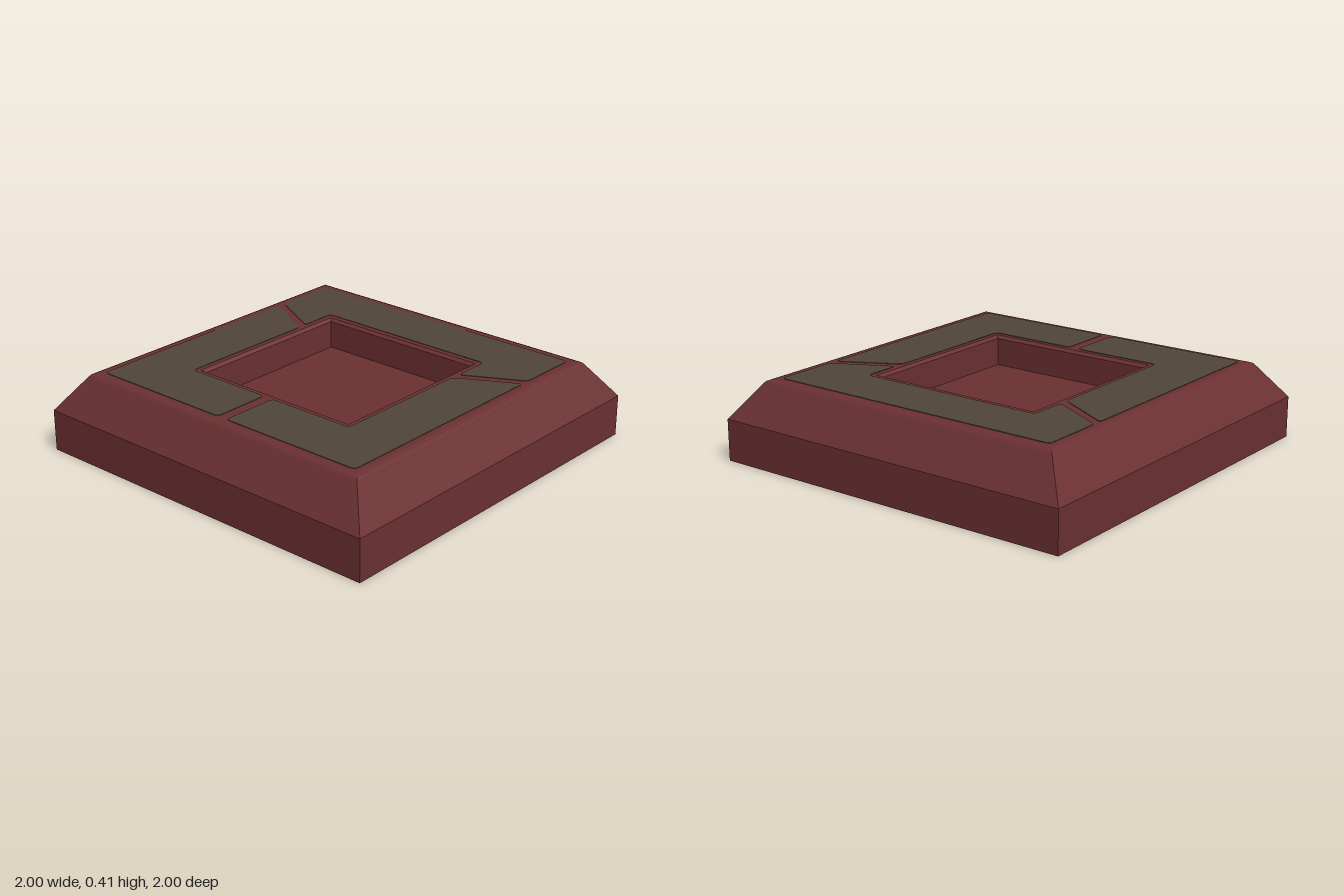
import * as THREE from 'three';

const red = new THREE.MeshStandardMaterial({ name: 'dark red', color: 0x6b3031 });
const olive = new THREE.MeshStandardMaterial({ name: 'olive brown', color: 0x504638 });

// Square solid swept from a [half width, height] profile, with flat faces
function squareLathe(profile) {
  const points = profile.map(([w, y]) => new THREE.Vector2(w * Math.SQRT2, y));
  const geometry = new THREE.LatheGeometry(points, 4).rotateY(Math.PI / 4).toNonIndexed();
  geometry.computeVertexNormals();
  return geometry;
}

// Polygon with rounded corners, from [x, z] points
function roundedShape(corners, radius) {
  const shape = new THREE.Shape();
  const p = corners.map(([x, z]) => new THREE.Vector2(x, -z));
  p.forEach((c, i) => {
    const toward = (q) => c.clone().add(q.clone().sub(c).setLength(radius));
    const a = toward(p[(i + p.length - 1) % p.length]);
    const b = toward(p[(i + 1) % p.length]);
    if (i === 0) shape.moveTo(a.x, a.y);
    else shape.lineTo(a.x, a.y);
    shape.quadraticCurveTo(c.x, c.y, b.x, b.y);
  });
  shape.closePath();
  return shape;
}

export function createModel() {
  const group = new THREE.Group();
  group.name = 'squarePedestal';

  const add = (name, geometry, material) => {
    const mesh = new THREE.Mesh(geometry, material);
    mesh.name = name;
    group.add(mesh);
  };

  // Block with sloped shoulders, softened rim and square well
  add('base', squareLathe([
    [0, 0], [1, 0], [1, 0.215], [0.868, 0.395], [0.86, 0.403], [0.84, 0.41],
    [0.482, 0.41], [0.467, 0.395], [0.467, 0.25], [0, 0.25],
  ]), red);

  // Thin inlaid plates around the well
  const corner = [
    [-0.815, -0.81], [-0.815, -0.028], [-0.507, -0.028],
    [-0.507, -0.507], [0.26, -0.507], [0.425, -0.81],
  ];
  const side = [
    [0.47, -0.81], [0.31, -0.51], [0.51, -0.51], [0.51, 0.51],
    [0.31, 0.51], [0.47, 0.81], [0.805, 0.81], [0.805, -0.81],
  ];
  const plates = {
    backPlate: corner,
    frontPlate: corner.map(([x, z]) => [x, -z]).reverse(),
    sidePlate: side,
  };
  for (const [name, outline] of Object.entries(plates)) {
    const geometry = new THREE.ExtrudeGeometry(roundedShape(outline, 0.025), {
      depth: 0.005, bevelEnabled: false, curveSegments: 4,
    });
    add(name, geometry.rotateX(-Math.PI / 2).translate(0, 0.408, 0), olive);
  }
  return group;
}
